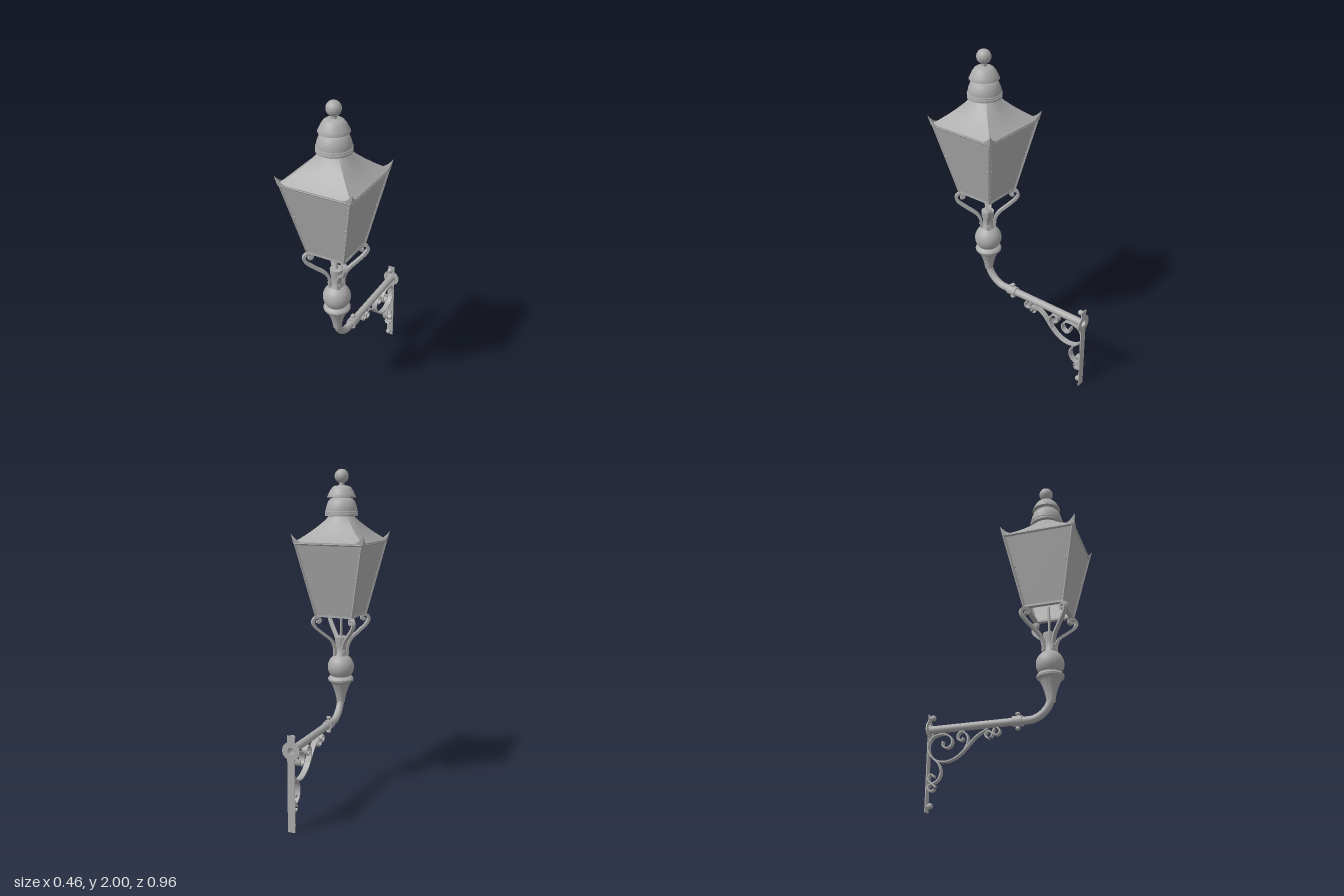
import * as THREE from 'three';
import { toCreasedNormals } from 'three/addons/utils/BufferGeometryUtils.js';

const AXIS_Z = 0.25; // z of the lantern's vertical axis
const PIPE_Y = 0.476; // height of the horizontal pipe

export function createModel() {
  const iron = new THREE.MeshStandardMaterial({ color: 0xaaaaaa, side: THREE.DoubleSide });
  iron.name = 'grey iron';
  const model = new THREE.Group();
  model.name = 'wallLantern';
  const lantern = new THREE.Group();
  lantern.name = 'lantern';
  lantern.position.z = AXIS_Z;
  model.add(lantern);

  function add(parent, name, geometry, x = 0, y = 0, z = 0) {
    const mesh = new THREE.Mesh(geometry, iron);
    mesh.name = name;
    mesh.position.set(x, y, z);
    parent.add(mesh);
    return mesh;
  }
  const lathe = (pts, n = 40) =>
    toCreasedNormals(new THREE.LatheGeometry(pts.map(([r, y]) => new THREE.Vector2(r, y)), n), 0.7);
  const ball = (parent, name, r, x, y, z, n = 16) =>
    add(parent, name, new THREE.SphereGeometry(r, n, Math.ceil(n * 0.7)), x, y, z);
  const bar = (parent, name, a, b, r) =>
    add(parent, name, toCreasedNormals(new THREE.TubeGeometry(
      new THREE.LineCurve3(new THREE.Vector3(...a), new THREE.Vector3(...b)), 1, r, 4), 0.5));

  // Flat iron strip bent along a curve in its own xy plane
  function ribbon(pts, thick, width) {
    const curve = new THREE.CatmullRomCurve3(pts.map(([x, y]) => new THREE.Vector3(x, y, 0)));
    const n = pts.length * 5, sideA = [], sideB = [];
    for (let i = 0; i <= n; i++) {
      const p = curve.getPointAt(i / n), t = curve.getTangentAt(i / n);
      sideA.push(new THREE.Vector2(p.x - t.y * thick / 2, p.y + t.x * thick / 2));
      sideB.unshift(new THREE.Vector2(p.x + t.y * thick / 2, p.y - t.x * thick / 2));
    }
    const g = new THREE.ExtrudeGeometry(new THREE.Shape([...sideA, ...sideB]),
      { depth: width, bevelEnabled: false });
    g.translate(0, 0, -width / 2);
    return toCreasedNormals(g, 0.7);
  }

  // Finial and ventilator caps
  ball(lantern, 'finialBall', 0.042, 0, 1.958, 0, 28);
  add(lantern, 'upperCap', lathe([[0.016, 1.93], [0.016, 1.905], [0.045, 1.9], [0.055, 1.893],
    [0.068, 1.875], [0.078, 1.855], [0.086, 1.838], [0.086, 1.833], [0.05, 1.833], [0.05, 1.825]]));
  add(lantern, 'lowerCap', lathe([[0.05, 1.83], [0.066, 1.826], [0.08, 1.81], [0.09, 1.785],
    [0.096, 1.76], [0.096, 1.752], [0.1, 1.75], [0.1, 1.742], [0.096, 1.74], [0.1, 1.738],
    [0.1, 1.725], [0.07, 1.722]]));

  // Concave roof: square at the eaves, rounding off towards the top
  const roofRings = [[0.217, 1.568], [0.217, 1.576], [0.187, 1.598], [0.154, 1.628], [0.124, 1.66],
    [0.096, 1.695], [0.073, 1.728]];
  const N = 64, pos = [], idx = [];
  roofRings.forEach(([h, y], j) => {
    const round = Math.pow(j / (roofRings.length - 1), 3);
    for (let i = 0; i <= N; i++) {
      const a = (i / N) * Math.PI * 2, c = Math.cos(a), s = Math.sin(a);
      const r = h * THREE.MathUtils.lerp(1 / Math.max(Math.abs(c), Math.abs(s)), 1, round);
      pos.push(r * c, y, r * s);
      if (j && i < N) {
        const b = j * (N + 1) + i, d = b - N - 1;
        idx.push(d, b, d + 1, d + 1, b, b + 1);
      }
    }
  });
  const roof = new THREE.BufferGeometry();
  roof.setAttribute('position', new THREE.Float32BufferAttribute(pos, 3));
  roof.setIndex(idx);
  add(lantern, 'roof', toCreasedNormals(roof, 0.6));

  // Tapered panes
  const bot = 0.117, top = 0.211, y0 = 1.128, y1 = 1.57;
  const panes = new THREE.CylinderGeometry(top * Math.SQRT2, bot * Math.SQRT2, y1 - y0, 4, 1, true);
  panes.rotateY(Math.PI / 4);
  add(lantern, 'panes', toCreasedNormals(panes, 0.5), 0, (y0 + y1) / 2, 0);

  // Open square frame under the panes
  const square = (P, h) => new P([[-h, -h], [h, -h], [h, h], [-h, h]].map(p => new THREE.Vector2(...p)));
  const frame = square(THREE.Shape, 0.121);
  frame.holes.push(square(THREE.Path, 0.095));
  const frameGeo = new THREE.ExtrudeGeometry(frame, { depth: 0.012, bevelEnabled: false });
  frameGeo.rotateX(-Math.PI / 2);
  add(lantern, 'bottomFrame', frameGeo, 0, 1.122, 0);

  // Leaf-shaped horn, one half lying along each eave
  const hornPos = [], hornIdx = [], M = 8;
  for (let i = 0; i <= M; i++) {
    const t = i / M, out = 0.218 + 0.012 * t * t;
    hornPos.push(0.15 + 0.068 * t, 1.568, 0.219, 0.15 + 0.08 * t, 1.574 + 0.054 * t * t, out);
    if (i < M) hornIdx.push(2 * i, 2 * i + 2, 2 * i + 1, 2 * i + 1, 2 * i + 2, 2 * i + 3);
  }
  const horn = new THREE.BufferGeometry();
  horn.setAttribute('position', new THREE.Float32BufferAttribute(hornPos, 3));
  horn.setIndex(hornIdx);
  horn.computeVertexNormals();

  const armPath = [[0.028, 0.87], [0.03, 0.92], [0.044, 0.965], [0.09, 1.02], [0.122, 1.06],
    [0.132, 1.088], [0.124, 1.112], [0.108, 1.115], [0.098, 1.1], [0.104, 1.086], [0.114, 1.092]]
    .map(([x, y]) => [x * Math.SQRT2, y]);
  const arm = ribbon(armPath, 0.017, 0.022);

  // Parts repeated on the four sides and corners
  for (let k = 0; k < 4; k++) {
    const side = new THREE.Group();
    side.name = 'lanternSide';
    side.rotation.y = k * Math.PI / 2;
    lantern.add(side);
    bar(side, 'cornerBar', [bot, y0, bot], [top, y1, top], 0.009);
    bar(side, 'topRail', [-top, y1 - 0.004, top], [top, y1 - 0.004, top], 0.008);
    for (const s of [-1, 1]) {
      add(side, 'horn', horn).scale.x = s;
      for (let i = 1; i < 11; i++) {
        const t = i / 11, h = THREE.MathUtils.lerp(bot, top, t);
        ball(side, 'rivet', i === 6 ? 0.007 : 0.0035, s * (h - 0.012), y0 + (y1 - y0) * t, h, 6);
      }
    }
    add(side, 'scrollArm', arm).rotation.y = Math.PI / 4;
    for (const y of [0.9, 0.935]) ball(side, 'armBolt', 0.009, 0.032, y, 0.032, 8);
  }

  // Gas rod, socket, ball and bell of the column
  add(lantern, 'gasRod', new THREE.CylinderGeometry(0.008, 0.008, 0.2, 12), 0, 1.06, 0);
  add(lantern, 'socket', lathe([[0, 0.988], [0.038, 0.988], [0.038, 0.965], [0.031, 0.93],
    [0.031, 0.885], [0.038, 0.875], [0.038, 0.86]]));
  ball(lantern, 'columnBall', 0.082, 0, 0.797, 0, 32);
  add(lantern, 'bell', lathe([[0.055, 0.742], [0.072, 0.735], [0.08, 0.722], [0.078, 0.71],
    [0.065, 0.7], [0.057, 0.685], [0.046, 0.66], [0.036, 0.63], [0.029, 0.6], [0.025, 0.57]]));

  // Bent pipe running back to the wall
  const R = 0.125, path = new THREE.CurvePath();
  const v = (y, z) => new THREE.Vector3(0, y, z);
  path.add(new THREE.LineCurve3(v(0.64, AXIS_Z), v(PIPE_Y + R, AXIS_Z)));
  path.add(new THREE.CubicBezierCurve3(v(PIPE_Y + R, AXIS_Z), v(PIPE_Y + R * 0.45, AXIS_Z),
    v(PIPE_Y, AXIS_Z - R * 0.55), v(PIPE_Y, AXIS_Z - R)));
  path.add(new THREE.LineCurve3(v(PIPE_Y, AXIS_Z - R), v(PIPE_Y, -0.478)));
  add(model, 'pipe', new THREE.TubeGeometry(path, 100, 0.0225, 24));

  // Coupling with a knob above and below
  const collar = new THREE.CylinderGeometry(0.031, 0.031, 0.06, 24);
  collar.rotateX(Math.PI / 2);
  add(model, 'coupling', collar, 0, PIPE_Y, 0.056);
  for (const s of [-1, 1]) {
    add(model, 'knobStem', new THREE.CylinderGeometry(0.009, 0.009, 0.05, 12), 0, PIPE_Y + s * 0.025, 0.056);
    ball(model, 'couplingKnob', 0.015, 0, PIPE_Y + s * 0.043, 0.056).scale.y = 0.75;
  }

  // Wall plate: a flat bar and a round flange, with bolts
  add(model, 'wallBarLower', new THREE.BoxGeometry(0.044, 0.435, 0.006), 0, 0.2175, -0.477);
  add(model, 'wallBarUpper', new THREE.BoxGeometry(0.044, 0.05, 0.006), 0, 0.54, -0.477);
  const flange = new THREE.Shape().absarc(0, 0, 0.053, 0, Math.PI * 2);
  flange.holes.push(new THREE.Path().absarc(0, 0, 0.021, 0, Math.PI * 2, true));
  add(model, 'wallFlange', toCreasedNormals(new THREE.ExtrudeGeometry(flange,
    { depth: 0.007, bevelEnabled: false, curveSegments: 32 }), 0.6), 0, PIPE_Y, -0.48);
  const seat = new THREE.CylinderGeometry(0.029, 0.031, 0.012, 24, 1, true);
  seat.rotateX(Math.PI / 2);
  add(model, 'pipeSeat', seat, 0, PIPE_Y, -0.468);
  for (const y of [0.035, 0.547]) {
    const stem = new THREE.CylinderGeometry(0.01, 0.01, 0.02, 12);
    stem.rotateX(Math.PI / 2);
    add(model, 'boltStem', stem, 0, y, -0.466);
    ball(model, 'wallBolt', 0.017, 0, y, -0.457);
  }

  // Scrollwork below the pipe, drawn as (z, y) paths
  const ring = (z, y, r, start) => Array.from({ length: 9 }, (_, i) => {
    const a = start + i * 0.72;
    return [z + r * Math.cos(a), y + r * Math.sin(a)];
  });
  const scrolls = {
    mainScroll: [[-0.12, 0.448], [-0.19, 0.408], [-0.257, 0.337], [-0.31, 0.296], [-0.374, 0.279],
      [-0.432, 0.295], [-0.47, 0.337], [-0.474, 0.39], [-0.453, 0.427], [-0.406, 0.443],
      [-0.363, 0.437], [-0.334, 0.406], [-0.337, 0.374], [-0.363, 0.358], [-0.39, 0.374], [-0.388, 0.4]],
    middleScroll: [[-0.257, 0.337], [-0.237, 0.385], [-0.244, 0.424], [-0.272, 0.447],
      [-0.298, 0.43], [-0.296, 0.403], [-0.275, 0.395], [-0.264, 0.41]],
    lowerScroll: [[-0.443, 0.302], [-0.408, 0.265], [-0.396, 0.22], [-0.41, 0.18], [-0.443, 0.162],
      [-0.468, 0.18], [-0.464, 0.208], [-0.443, 0.21], [-0.436, 0.195]],
    frontCurl: ring(-0.068, 0.428, 0.02, 2),
    secondCurl: ring(-0.113, 0.413, 0.02, -1),
    bottomCurl: ring(-0.45, 0.137, 0.02, 0),
  };
  for (const [name, pts] of Object.entries(scrolls))
    add(model, name, ribbon(pts, 0.008, 0.034)).rotation.y = -Math.PI / 2;

  return model;
}
